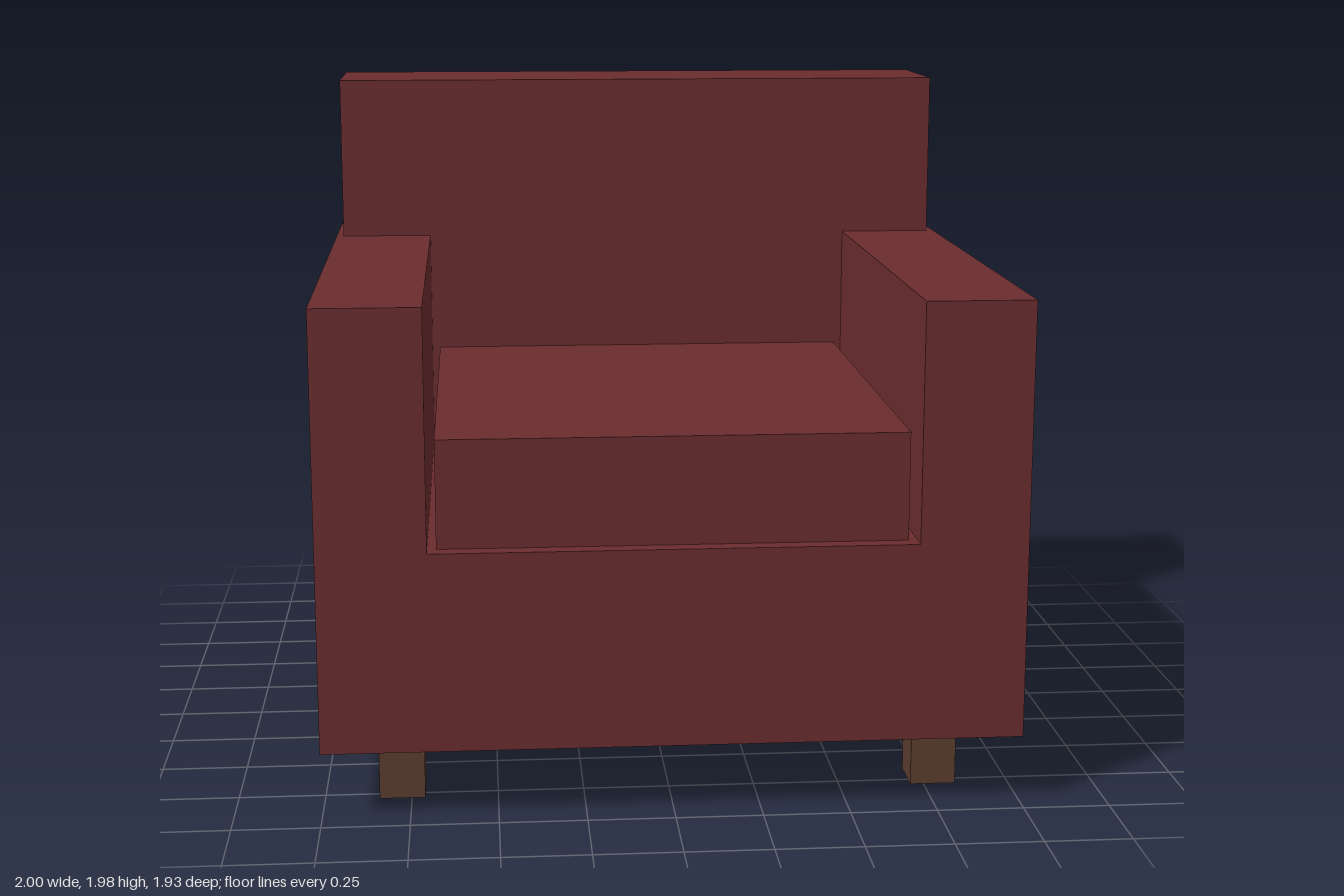
import * as THREE from 'three';

export function createModel() {
  const group = new THREE.Group();

  const fabric = new THREE.MeshStandardMaterial({ color: 0x6a2c2e });
  fabric.name = 'red fabric';
  const wood = new THREE.MeshStandardMaterial({ color: 0x5a3c2d });
  wood.name = 'brown wood';

  // Box given by its extents on each axis
  function addBox(name, material, [x0, x1], [y0, y1], [z0, z1]) {
    const mesh = new THREE.Mesh(new THREE.BoxGeometry(x1 - x0, y1 - y0, z1 - z0), material);
    mesh.position.set((x0 + x1) / 2, (y0 + y1) / 2, (z0 + z1) / 2);
    mesh.name = name;
    group.add(mesh);
  }

  // Upholstered body
  addBox('base', fabric, [-1, 1], [0.203, 0.778], [-0.944, 0.966]);
  addBox('seatCushion', fabric, [-0.665, 0.665], [0.778, 1.09], [-0.53, 0.917]);
  addBox('backrest', fabric, [-0.977, 0.977], [0.781, 1.98], [-0.966, -0.523]);

  // Armrests
  addBox('leftArm', fabric, [0.69, 1], [0.778, 1.468], [-0.853, 0.966]);
  addBox('rightArm', fabric, [-1, -0.69], [0.778, 1.468], [-0.853, 0.966]);

  // Four square legs
  for (const [side, x] of [['Left', 0.777], ['Right', -0.777]]) {
    for (const [end, z] of [['front', 0.722], ['back', -0.702]]) {
      addBox(end + side + 'Leg', wood, [x - 0.066, x + 0.066], [0, 0.203], [z - 0.066, z + 0.066]);
    }
  }

  return group;
}
